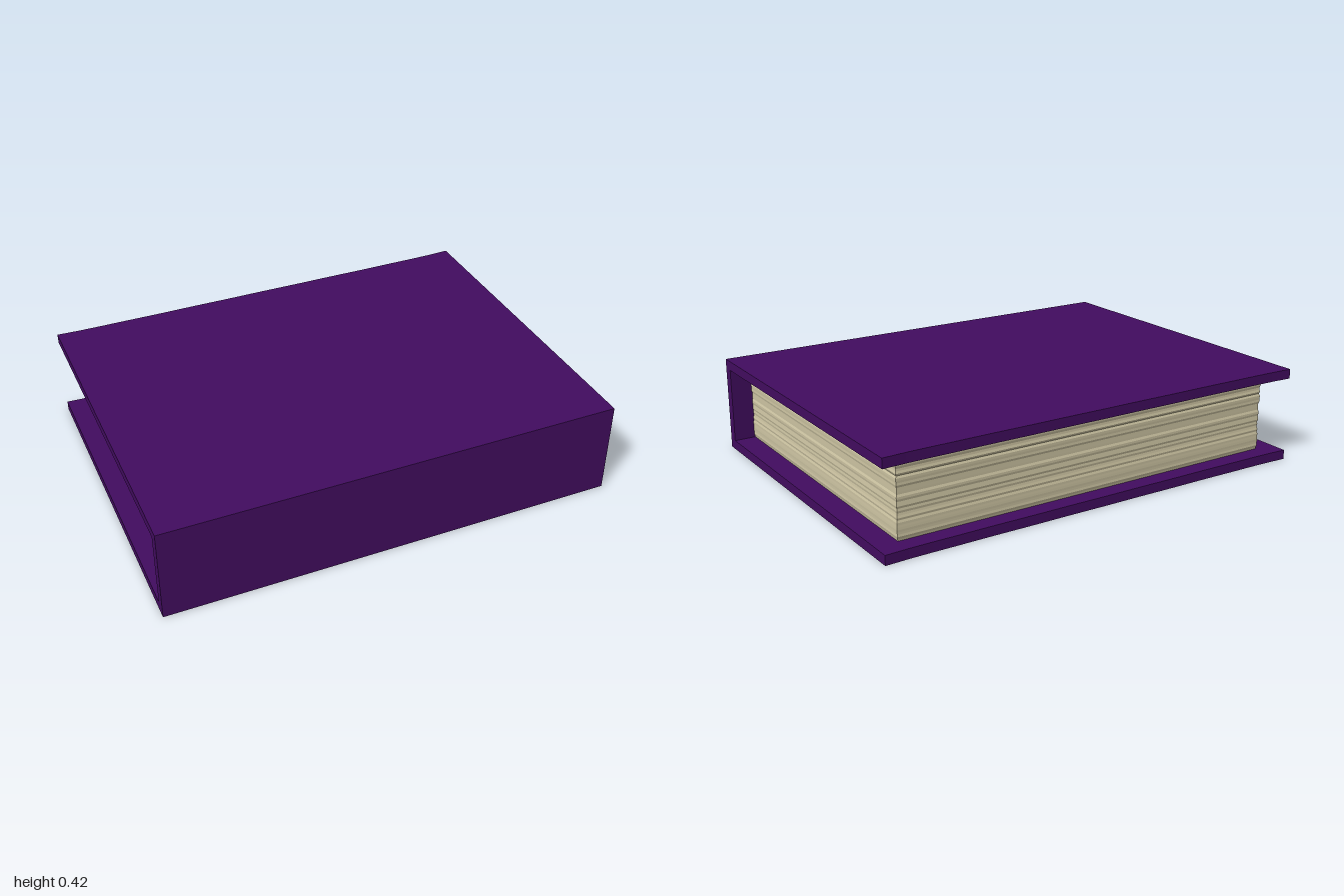
import * as THREE from 'three';

const coverMaterial = new THREE.MeshStandardMaterial({ color: 0x420c60 });
coverMaterial.name = 'purple cover';
const paperMaterial = new THREE.MeshStandardMaterial({ color: 0xcfc6a4 });
paperMaterial.name = 'cream paper';

// Small seeded random generator
function seeded(seed) {
  return () => (seed = (seed * 16807) % 2147483647) / 2147483647;
}

// Box between two corners, with every vertex passed through an optional rule
function makeBox(name, material, min, max, segments, rule) {
  const size = max.map((v, i) => v - min[i]);
  let geometry = new THREE.BoxGeometry(...size, ...segments);
  geometry.translate(...max.map((v, i) => (v + min[i]) / 2));
  if (rule) {
    const position = geometry.attributes.position;
    const p = new THREE.Vector3();
    for (let i = 0; i < position.count; i++) {
      rule(p.fromBufferAttribute(position, i));
      position.setXYZ(i, p.x, p.y, p.z);
    }
    geometry = geometry.toNonIndexed();
    geometry.computeVertexNormals();
  }
  const mesh = new THREE.Mesh(geometry, material);
  mesh.name = name;
  return mesh;
}

export function createModel() {
  const book = new THREE.Group();
  book.name = 'book';
  const height = 0.417, board = 0.042, front = 0.745, back = -0.75;

  // Slight wear: the fore edge is drawn in between its two corners
  const wear = (p) => {
    if (p.z < back + 0.01) {
      p.z += 0.007 * (1 - Math.abs(p.x) ** 8) + 0.001 * Math.sin(p.x * 9) ** 2;
    }
  };

  // Cover boards and spine
  book.add(makeBox('bottomCover', coverMaterial, [-1, 0, back], [1, board, front], [20, 1, 1], wear));
  book.add(makeBox('topCover', coverMaterial, [-1, height - board, back], [1, height, front], [20, 1, 1], wear));
  book.add(makeBox('spine', coverMaterial, [-1, board, 0.7], [1, height - board, front], [1, 1, 1]));

  // Page block: each row of its edges is shifted a little to form paper layers
  const random = seeded(41);
  const rows = 36, low = board, span = height - 2 * board;
  const jitter = Array.from({ length: rows + 1 }, () => (random() - 0.5) * 0.005);
  const layers = (p) => {
    const shift = jitter[Math.round(((p.y - low) / span) * rows)];
    p.x += Math.sign(p.x) * shift;
    if (p.z < 0) p.z -= shift;
  };
  book.add(makeBox('pages', paperMaterial, [-0.905, low, -0.67], [0.905, low + span, 0.7], [1, rows, 1], layers));

  return book;
}
